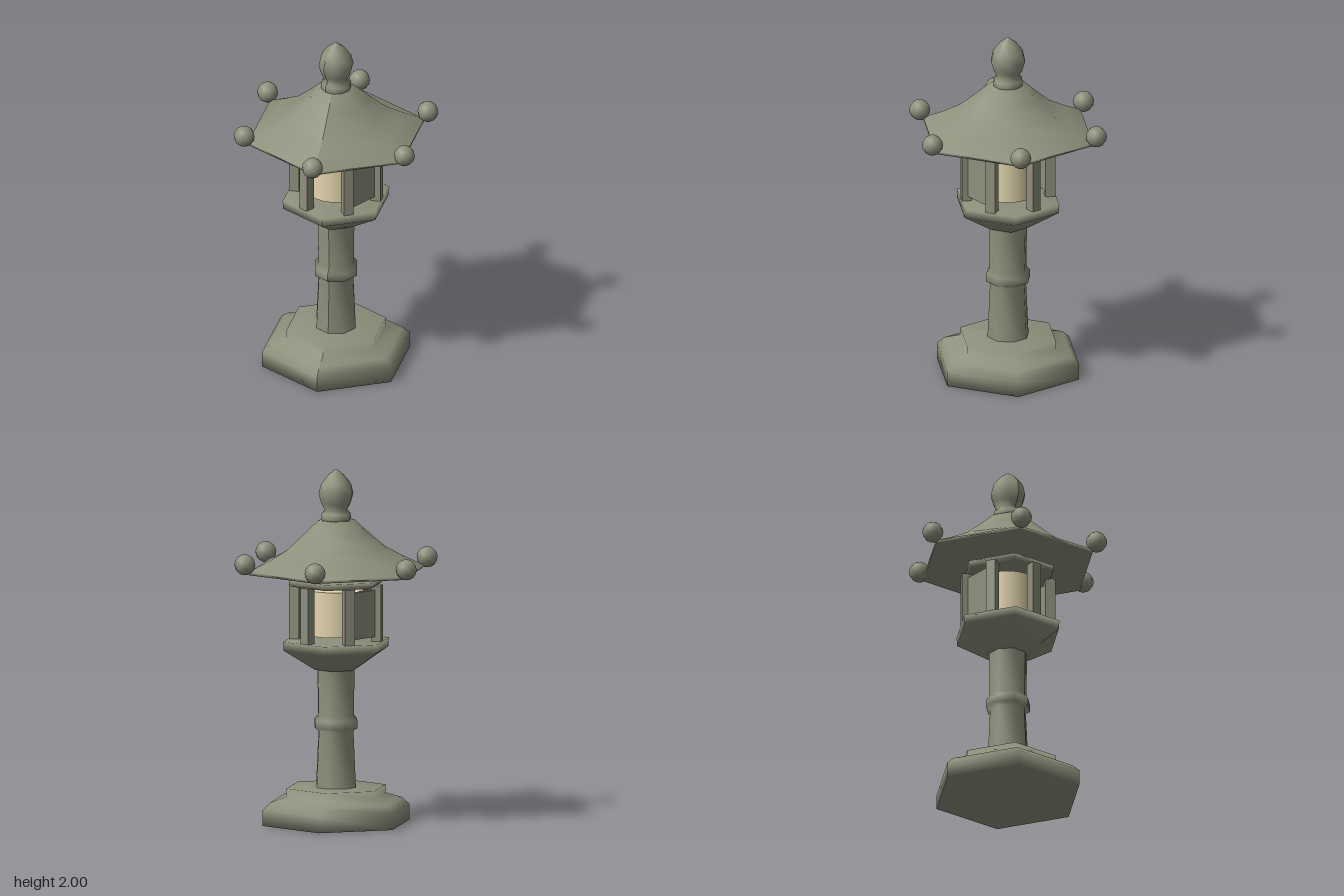
import * as THREE from 'three';

const stone = new THREE.MeshStandardMaterial({ color: 0x8e907c });
stone.name = 'stone';
const paper = new THREE.MeshStandardMaterial({ color: 0xe6d6b0 });
paper.name = 'paper';

// Turned part with few sides; profile runs bottom to top as [radius, y]
function turned(name, profile, sides, start) {
  const points = profile.map(([r, y]) => new THREE.Vector2(r, y));
  const geometry = new THREE.LatheGeometry(points, sides, start);
  geometry.computeVertexNormals();
  const mesh = new THREE.Mesh(geometry, stone);
  mesh.name = name;
  return mesh;
}

const hex = (name, profile) => turned(name, profile, 6, Math.PI / 6);

export function createModel() {
  const model = new THREE.Group();
  model.name = 'stoneLantern';

  // Stepped foot
  model.add(hex('base', [
    [0, 0], [0.43, 0], [0.43, 0.09], [0.385, 0.13], [0.29, 0.16], [0.29, 0.205], [0, 0.205],
  ]));

  // Eight-sided shaft with a ring at mid height
  model.add(turned('shaft', [
    [0.119, 0.2], [0.104, 0.525], [0.127, 0.54], [0.127, 0.585], [0.106, 0.61], [0.111, 0.88],
  ], 8, Math.PI / 8));

  // Platform under the light chamber
  model.add(hex('platform', [
    [0, 0.87], [0.125, 0.87], [0.307, 0.985], [0.31, 1.035], [0, 1.035],
  ]));

  // Six posts around the chamber
  const posts = new THREE.Group();
  posts.name = 'chamberPosts';
  const postGeometry = new THREE.BoxGeometry(0.056, 0.32, 0.056);
  for (let i = 0; i < 6; i++) {
    const a = (i * Math.PI) / 3;
    const post = new THREE.Mesh(postGeometry, stone);
    post.name = 'post';
    post.position.set(0.235 * Math.sin(a), 1.19, 0.235 * Math.cos(a));
    post.rotation.y = a;
    posts.add(post);
  }
  model.add(posts);

  // Closed panels on the two sides
  for (const side of [-1, 1]) {
    const panel = new THREE.Mesh(new THREE.BoxGeometry(0.025, 0.265, 0.2), stone);
    panel.name = side > 0 ? 'leftPanel' : 'rightPanel';
    panel.position.set(side * 0.2, 1.193, 0);
    model.add(panel);
  }

  // Paper light
  const light = new THREE.Mesh(new THREE.CylinderGeometry(0.162, 0.162, 0.255, 20), paper);
  light.name = 'paperLight';
  light.position.y = 1.193;
  model.add(light);

  // Slab over the posts
  model.add(hex('chamberTop', [
    [0, 1.345], [0.262, 1.345], [0.275, 1.358], [0.275, 1.38], [0, 1.38],
  ]));

  // Sweeping roof
  model.add(hex('roof', [
    [0, 1.38], [0.51, 1.42], [0.513, 1.437], [0.4, 1.49], [0.29, 1.55],
    [0.19, 1.635], [0.105, 1.712], [0, 1.712],
  ]));

  // Balls on the roof corners
  const balls = new THREE.Group();
  balls.name = 'roofBalls';
  const ballGeometry = new THREE.SphereGeometry(0.059, 10, 8);
  for (let i = 0; i < 6; i++) {
    const a = (i * Math.PI) / 3;
    const ball = new THREE.Mesh(ballGeometry, stone);
    ball.name = 'cornerBall';
    ball.position.set(0.534 * Math.cos(a), 1.48, 0.534 * Math.sin(a));
    balls.add(ball);
  }
  model.add(balls);

  // Bud-shaped finial
  model.add(turned('finial', [
    [0.08, 1.705], [0.086, 1.72], [0.083, 1.748], [0.063, 1.768], [0.083, 1.805],
    [0.099, 1.86], [0.086, 1.915], [0.045, 1.967], [0, 2],
  ], 10, 0));

  return model;
}
